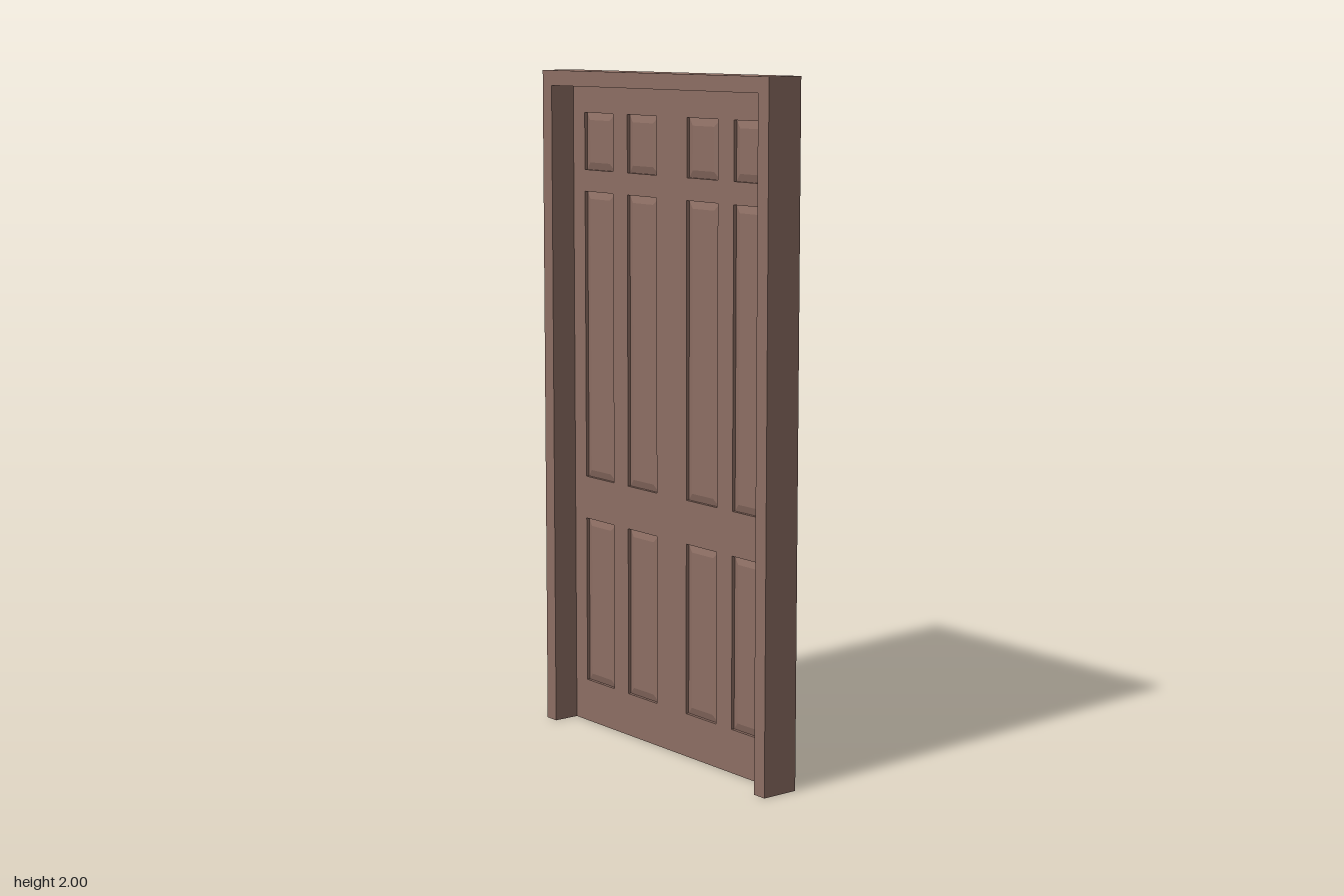
import * as THREE from 'three';

const W = 1.044, H = 2, D = 0.114;      // overall width (z), height, depth (x)
const SLAB = 0.034, LIP = 0.045;        // door leaf thickness, frame face width
const GROOVE = 0.01, RISE = 0.006, SLOPE = 0.022; // raised panel profile

const wood = new THREE.MeshStandardMaterial({ color: 0x8d6e63, flatShading: true });

// Closed rectangle outline
function rect(Type, x0, y0, x1, y1) {
  return new Type([[x0, y0], [x1, y0], [x1, y1], [x0, y1]].map(p => new THREE.Vector2(...p)));
}

// Extrude an outline drawn across the door, then turn it to run along x from `start`
function extrudeAcross(name, shape, start, depth, bevel = {}) {
  const geo = new THREE.ExtrudeGeometry(shape, { depth, bevelEnabled: false, ...bevel });
  geo.rotateY(Math.PI / 2);
  geo.translate(start, 0, 0);
  const mesh = new THREE.Mesh(geo, wood);
  mesh.name = name;
  return mesh;
}

export function createModel() {
  const group = new THREE.Group();
  group.name = 'panelledDoor';
  const face = D / 2 - SLAB;            // back plane of the leaf

  // Panel openings: four columns by three rows
  const columns = [[-0.42, -0.28], [-0.21, -0.07], [0.07, 0.21], [0.28, 0.42]];
  const rows = [[0.13, 0.64], [0.77, 1.64], [1.705, 1.875]];

  const leaf = rect(THREE.Shape, -W / 2, 0, W / 2, H);
  for (const [z0, z1] of columns) {
    for (const [y0, y1] of rows) {
      leaf.holes.push(rect(THREE.Path, z0, y0, z1, y1));
      // Raised panel, bevelled on both faces
      group.add(extrudeAcross('raisedPanel', rect(THREE.Shape, z0, y0, z1, y1),
        face + GROOVE, SLAB - 2 * GROOVE, {
          bevelEnabled: true, bevelThickness: RISE, bevelSize: SLOPE,
          bevelOffset: -SLOPE, bevelSegments: 1,
        }));
    }
  }
  group.add(extrudeAcross('doorLeaf', leaf, face, SLAB));

  // Frame: two jambs and a head, open at the floor
  const o = W / 2, i = o - LIP;
  const frame = new THREE.Shape([
    [-o, 0], [-i, 0], [-i, H - LIP], [i, H - LIP], [i, 0], [o, 0], [o, H], [-o, H],
  ].map(p => new THREE.Vector2(...p)));
  group.add(extrudeAcross('doorFrame', frame, -D / 2, D - SLAB));

  return group;
}
